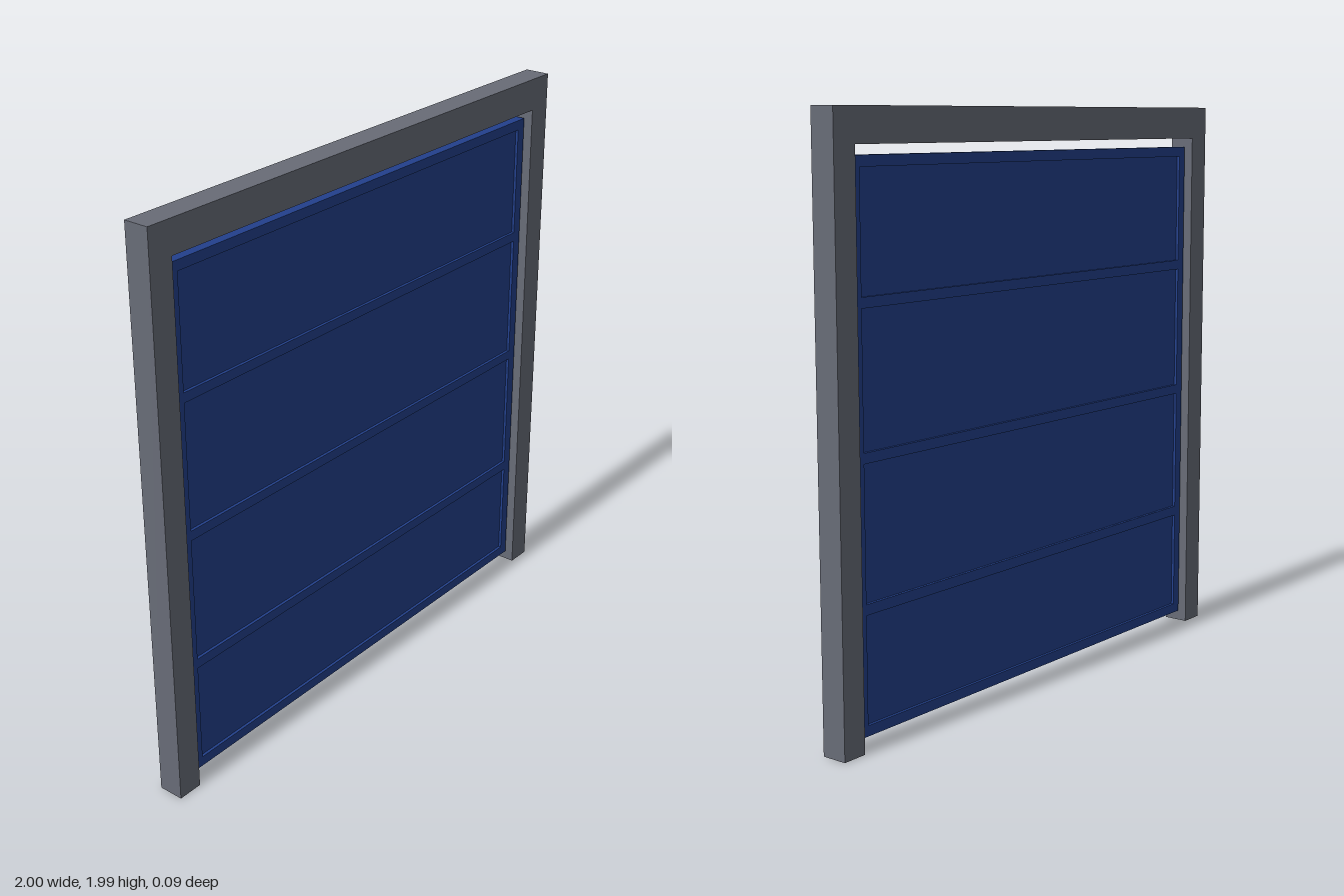
import * as THREE from 'three';

// Closed shape from corner points
const polygon = (pts) => new THREE.Shape(pts.map(([x, y]) => new THREE.Vector2(x, y)));

// Extrude a shape, centred on z = 0
function slab(shape, depth) {
  const geo = new THREE.ExtrudeGeometry(shape, { depth, bevelEnabled: false });
  return geo.translate(0, 0, -depth / 2);
}

export function createModel() {
  const group = new THREE.Group();
  const grey = new THREE.MeshStandardMaterial({ color: 0x686c77 });
  grey.name = 'frame grey';
  const blue = new THREE.MeshStandardMaterial({ color: 0x22408c });
  blue.name = 'door blue';

  const add = (name, geo, mat) => {
    const mesh = new THREE.Mesh(geo, mat);
    mesh.name = name;
    group.add(mesh);
  };

  // Surround: two jambs joined by a lintel
  add('doorFrame', slab(polygon([
    [-1, 0], [-0.91, 0], [-0.91, 1.872], [0.91, 1.872],
    [0.91, 0], [1, 0], [1, 1.985], [-1, 1.985],
  ]), 0.09), grey);

  // Door leaf: rails and stiles around four openings
  const leaf = polygon([[-0.9, 0.04], [0.9, 0.04], [0.9, 1.84], [-0.9, 1.84]]);
  const w = 0.865;
  const panels = [[0.075, 0.43], [0.465, 0.907], [0.941, 1.383], [1.417, 1.805]];
  for (const [y0, y1] of panels) {
    leaf.holes.push(polygon([[-w, y0], [-w, y1], [w, y1], [w, y0]]));
  }
  add('doorRails', slab(leaf, 0.036), blue);

  // Recessed panels, set back on both sides
  panels.forEach(([y0, y1], i) => {
    const geo = new THREE.BoxGeometry(2 * w, y1 - y0, 0.016);
    add(`doorPanel${i + 1}`, geo.translate(0, (y0 + y1) / 2, 0), blue);
  });

  return group;
}
